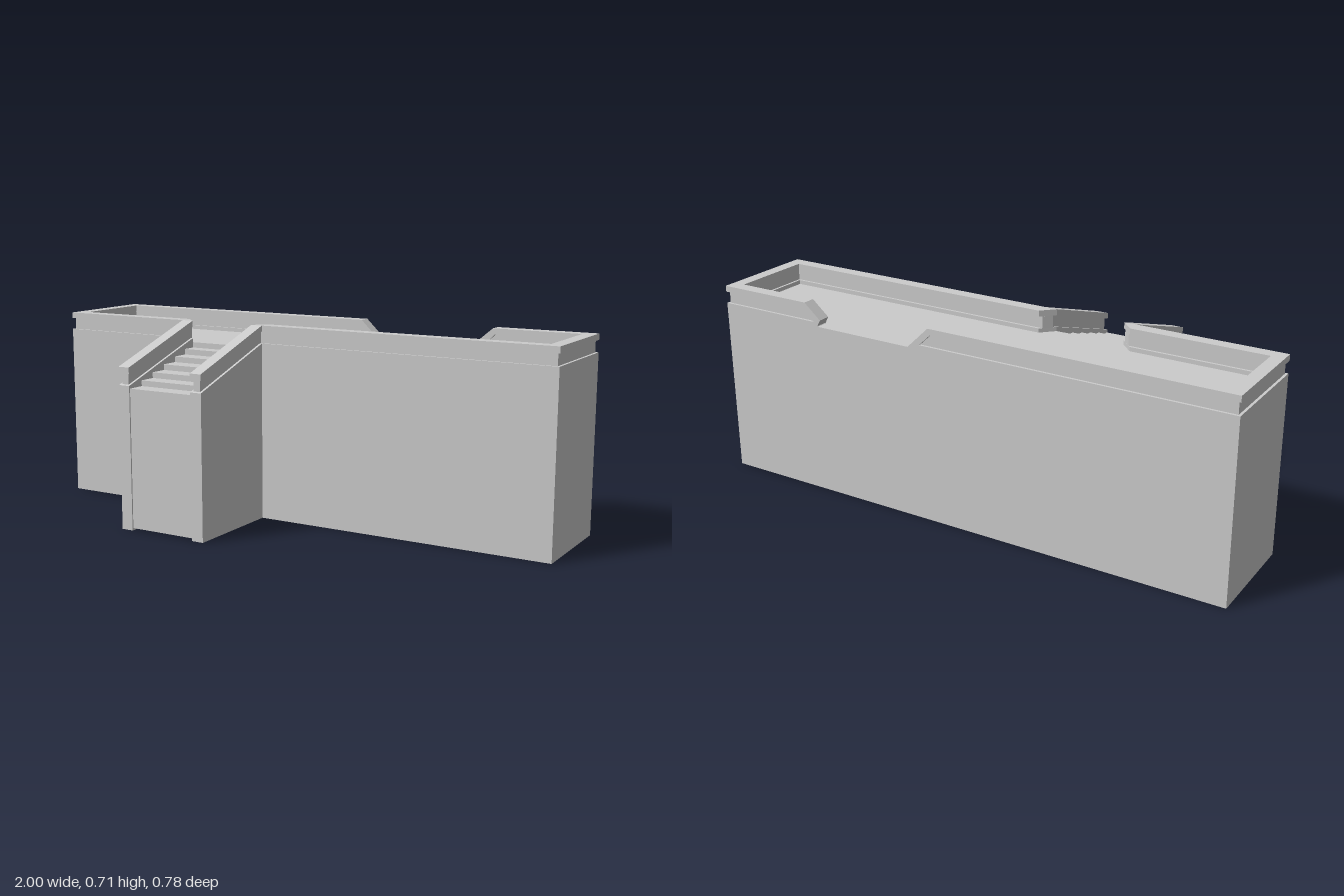
import * as THREE from 'three';

const mat = new THREE.MeshStandardMaterial({ color: 0xcccccc, flatShading: true });
const BACK = -0.392, FRONT = 0.005, END = 0.392;   // z of back wall, front wall, stair end
const FLOOR = 0.635, KERB = 0.65, NECK = 0.693, TOP = 0.715;
const T = 0.046;                                   // parapet thickness
const INSET = 0.009;                               // recess under the coping

export function createModel() {
  const group = new THREE.Group();

  const add = (name, geo) => {
    const mesh = new THREE.Mesh(geo, mat);
    mesh.name = name;
    group.add(mesh);
  };
  const extrude = (pts, depth) => new THREE.ExtrudeGeometry(
    new THREE.Shape(pts.map(p => new THREE.Vector2(p[0], p[1]))), { depth, bevelEnabled: false });

  // plan outline [x, z] raised from y0 to y1
  const plan = (name, pts, y0, y1) =>
    add(name, extrude(pts.map(([x, z]) => [x, -z]), y1 - y0).rotateX(-Math.PI / 2).translate(0, y0, 0));
  // side profile [z, y] spanning x0 to x1
  const across = (name, pts, x0, x1) =>
    add(name, extrude(pts, x1 - x0).rotateY(-Math.PI / 2).translate(x1, 0, 0));
  // front profile [x, y] spanning z0 to z1
  const along = (name, pts, z0, z1) => add(name, extrude(pts, z1 - z0).translate(0, 0, z0));

  // platform block, its top is the walkway
  add('platform', new THREE.BoxGeometry(2, FLOOR, FRONT - BACK)
    .translate(0, FLOOR / 2, (FRONT + BACK) / 2));

  // parapet runs in three layers: kerb, recessed neck, coping
  const layers = [['Kerb', FLOOR, KERB, 0], ['Neck', KERB, NECK, INSET], ['Coping', NECK, TOP, 0]];
  const runs = [
    { name: 'right', s: -1, gap: 0.106, outer: -0.465, inner: -0.42 },
    { name: 'left', s: 1, gap: 0.63, outer: -0.115, inner: -0.16 },
  ];
  for (const { name, s, gap, outer, inner } of runs) {
    for (const [layer, y0, y1, d] of layers) {
      const b = BACK + d, f = FRONT - d, e = s * (1 - d), ei = s * (1 - T + d);
      plan(name + layer, [
        [gap, b], [e, b], [e, f], [inner + s * d, f],
        [outer - s * d, FRONT - T + d], [ei, FRONT - T + d], [ei, BACK + T - d], [gap, BACK + T - d],
      ], y0, y1);
    }
  }

  // coping ramps down to the walkway on each side of the back opening
  along('rightRampCoping',
    [[0.106, TOP], [0.19, FLOOR], [0.158, FLOOR], [0.097, NECK], [0.09, NECK], [0.09, TOP]], BACK, BACK + T);
  along('leftRampCoping',
    [[0.63, TOP], [0.565, 0.66], [0.579, FLOOR], [0.638, NECK], [0.65, NECK], [0.65, TOP]], BACK, BACK + T);
  along('rightRampNeck',
    [[0.09, KERB], [0.146, KERB], [0.099, NECK], [0.09, NECK]], BACK + INSET, BACK + T - INSET);
  along('leftRampNeck',
    [[0.65, KERB], [0.592, KERB], [0.636, NECK], [0.65, NECK]], BACK + INSET, BACK + T - INSET);
  along('rightRampKerb', [[0.09, FLOOR], [0.16, FLOOR], [0.147, KERB], [0.09, KERB]], BACK, BACK + T);
  along('leftRampKerb', [[0.65, FLOOR], [0.576, FLOOR], [0.594, KERB], [0.65, KERB]], BACK, BACK + T);

  // sloping walls beside the stairs
  const DROP = 0.127;
  for (const [name, x0, x1] of [['rightStair', -0.465, -0.42], ['leftStair', -0.16, -0.115]]) {
    across(name + 'Wall', [[FRONT, 0], [END, 0], [END, KERB - DROP], [FRONT, KERB]], x0, x1);
    across(name + 'Neck', [
      [FRONT - INSET, KERB], [FRONT, KERB], [END - INSET, KERB - DROP], [END - INSET, NECK - DROP + 0.003],
      [FRONT, NECK], [FRONT - INSET, NECK],
    ], x0 + INSET, x1 - INSET);
    across(name + 'Coping', [[FRONT, NECK], [END, NECK - DROP], [END, TOP - DROP], [FRONT, TOP]], x0, x1);
  }

  // solid flight of six steps
  const edges = [FRONT, 0.055, 0.12, 0.188, 0.255, 0.32, END - 0.005];
  const steps = [[FRONT, 0.008]];
  for (let i = 0; i < 6; i++) {
    const y = 0.615 - i * 0.0204;
    steps.push([edges[i], y], [edges[i + 1], y]);
  }
  steps.push([edges[6], 0.008]);
  across('stairs', steps, -0.42, -0.16);

  return group;
}
